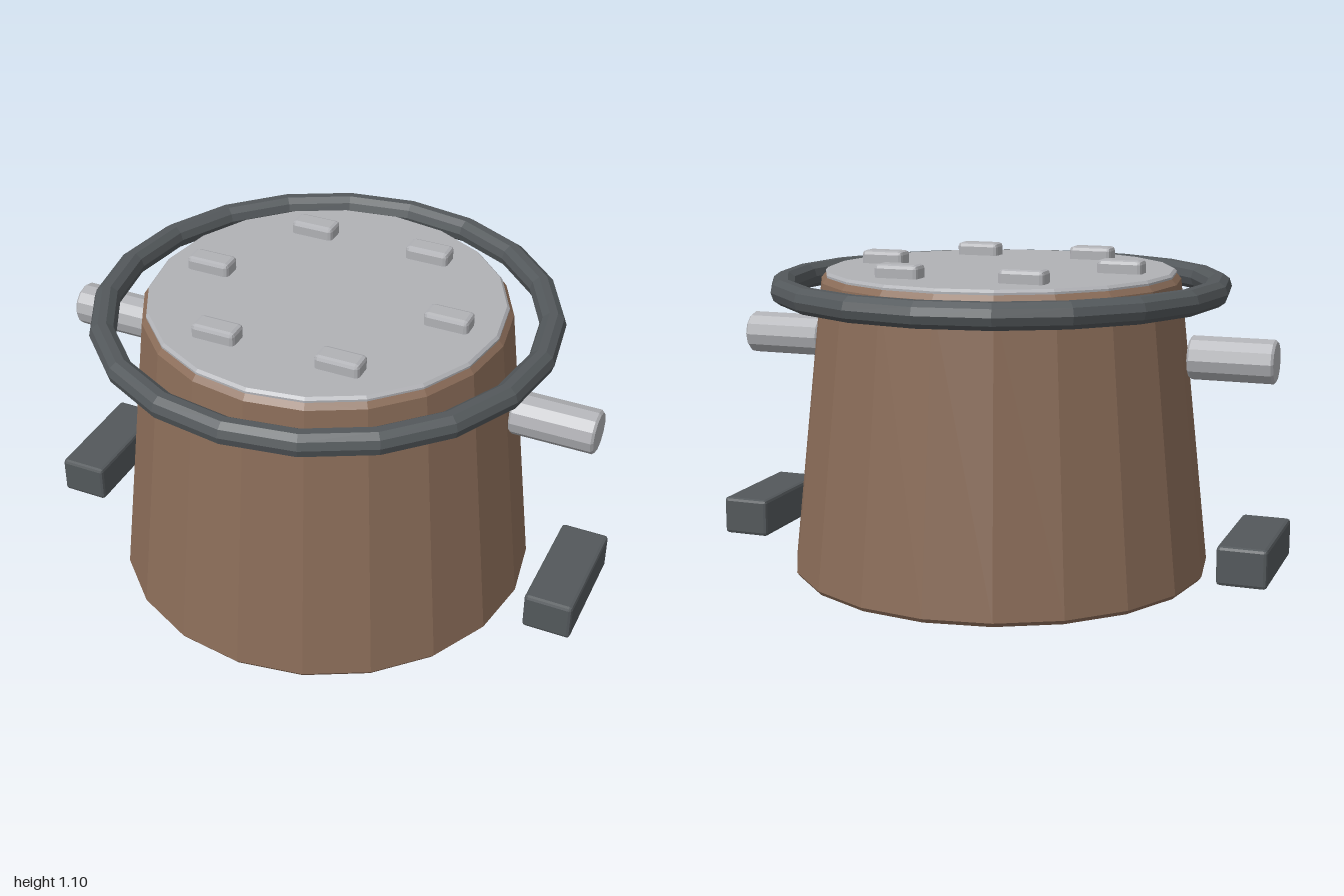
import * as THREE from 'three';
import { RoundedBoxGeometry } from 'three/addons/geometries/RoundedBoxGeometry.js';

const SIDES = 20;
const paint = (color) => new THREE.MeshStandardMaterial({ color, flatShading: true });

export function createModel() {
  const group = new THREE.Group();
  const wood = paint(0x8a6c58);
  const steel = paint(0xb0b1b5);
  const iron = paint(0x53585b);

  const add = (name, geometry, material, x = 0, y = 0, z = 0) => {
    const mesh = new THREE.Mesh(geometry, material);
    mesh.name = name;
    mesh.position.set(x, y, z);
    group.add(mesh);
    return mesh;
  };
  // Turned shape from [radius, height] pairs, listed bottom to top
  const lathe = (points, sides) =>
    new THREE.LatheGeometry(points.map(([r, y]) => new THREE.Vector2(r, y)), sides);

  // Tapered body with softened rims
  add('body', lathe([[0, 0], [0.725, 0], [0.736, 0.015], [0.625, 1.02], [0.608, 1.04], [0, 1.04]], SIDES), wood);

  // Lid plate
  add('lid', lathe([[0.609, 1.03], [0.609, 1.046], [0.6, 1.055], [0, 1.055]], SIDES), steel);

  // Hoop around the rim
  const hoop = new THREE.TorusGeometry(0.755, 0.045, 10, SIDES);
  hoop.rotateX(Math.PI / 2);
  add('hoop', hoop, iron, 0, 0.995, 0);

  // Six studs in a circle on the lid
  const stud = new RoundedBoxGeometry(0.155, 0.06, 0.08, 1, 0.014);
  for (let i = 0; i < 6; i++) {
    const a = (i * Math.PI) / 3;
    add('stud', stud, steel, 0.435 * Math.cos(a), 1.07, 0.435 * Math.sin(a));
  }

  // Side pegs and feet, mirrored left and right
  const peg = lathe([[0, -0.145], [0.067, -0.145], [0.075, -0.137], [0.075, 0.137], [0.067, 0.145], [0, 0.145]], 12);
  peg.rotateZ(-Math.PI / 2);
  const foot = new RoundedBoxGeometry(0.17, 0.135, 0.43, 1, 0.012);
  for (const [side, label] of [[1, 'left'], [-1, 'right']]) {
    add(label + 'Peg', peg, steel, side * 0.825, 0.78, 0);
    add(label + 'Foot', foot, iron, side * 0.915, 0.127, 0);
  }

  return group;
}
